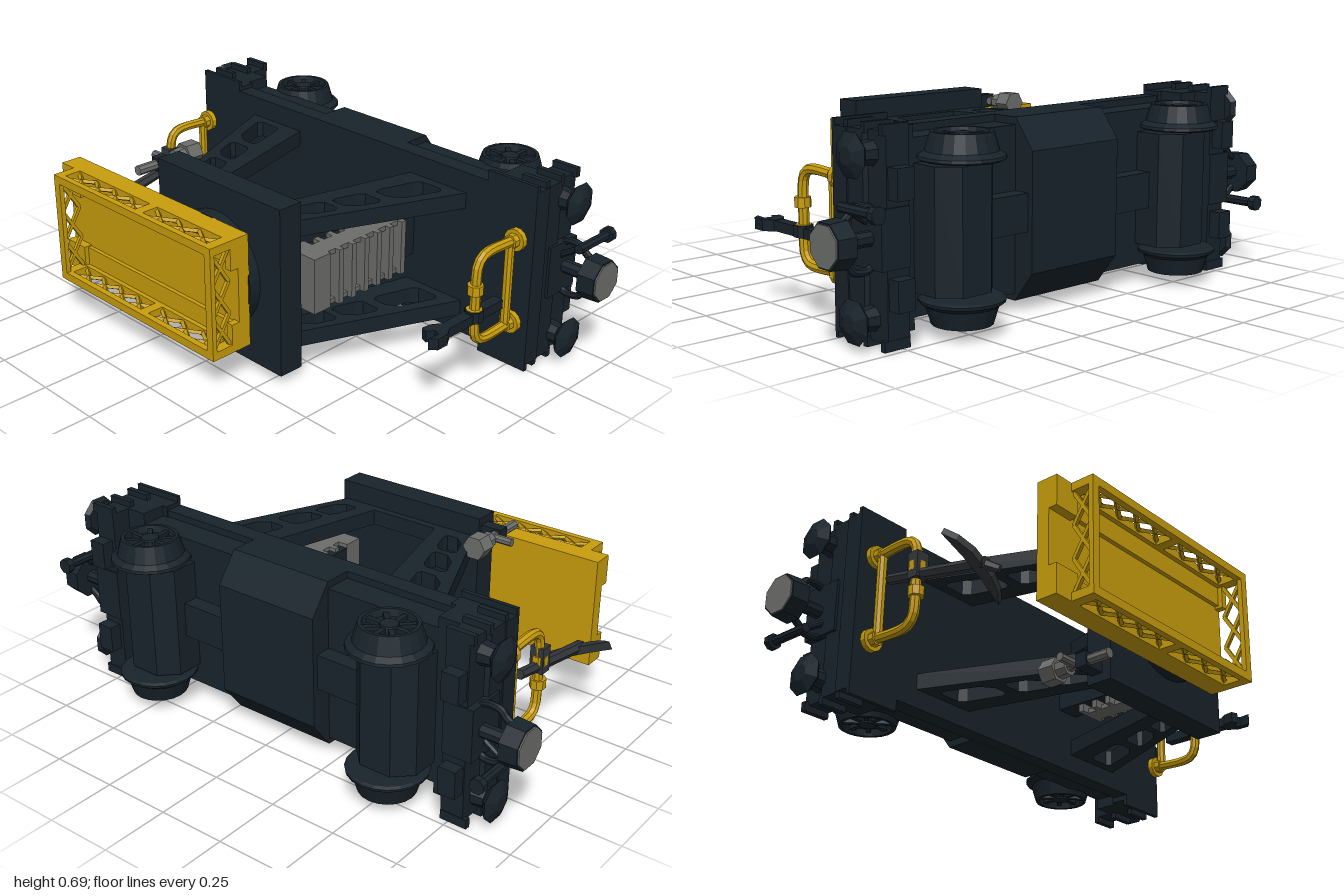
import * as THREE from 'three';

const mat = (color) => new THREE.MeshStandardMaterial({ color, flatShading: true, side: THREE.DoubleSide });
const DARK = mat(0x18232b), YELLOW = mat(0xc89d0c), GREY = mat(0x6c6e6b), STEEL = mat(0x34383b);
const MID = 0.355; // centre line of the wagon in y
const V = (x, y, z) => new THREE.Vector3(x, y, z);

function add(parent, name, geo, material) {
  const m = new THREE.Mesh(geo, material);
  m.name = name;
  parent.add(m);
  return m;
}
function group(parent, name) {
  const g = new THREE.Group();
  g.name = name;
  parent.add(g);
  return g;
}
function box(parent, name, material, x0, x1, y0, y1, z0, z1) {
  const m = add(parent, name, new THREE.BoxGeometry(x1 - x0, y1 - y0, z1 - z0), material);
  m.position.set((x0 + x1) / 2, (y0 + y1) / 2, (z0 + z1) / 2);
  return m;
}
// Cylinder or cone from point a to point b, flats facing the axes
function rod(parent, name, material, a, b, r0, r1 = r0, sides = 8) {
  const d = b.clone().sub(a);
  const geo = new THREE.CylinderGeometry(r1, r0, d.length(), sides, 1, false, Math.PI / sides);
  const m = add(parent, name, geo, material);
  m.position.copy(a).addScaledVector(d, 0.5);
  m.quaternion.setFromUnitVectors(V(0, 1, 0), d.normalize());
  return m;
}
function polygon(points, Type = THREE.Shape) {
  return new Type(points.map((p) => new THREE.Vector2(p[0], p[1])));
}
// Outline given as (x, z), extruded along y
function prismY(parent, name, material, pts, y0, y1, holes = []) {
  const s = polygon(pts.map(([x, z]) => [x, -z]));
  s.holes = holes.map((h) => polygon(h.map(([x, z]) => [x, -z]), THREE.Path));
  const g = new THREE.ExtrudeGeometry(s, { depth: y1 - y0, bevelEnabled: false });
  g.rotateX(-Math.PI / 2).translate(0, y0, 0);
  return add(parent, name, g, material);
}
// Outline given as (y, z), extruded along x
function prismX(parent, name, material, pts, x0, x1) {
  const g = new THREE.ExtrudeGeometry(polygon(pts), { depth: x1 - x0, bevelEnabled: false });
  g.applyMatrix4(new THREE.Matrix4().makeBasis(V(0, 1, 0), V(0, 0, 1), V(1, 0, 0))).translate(x0, 0, 0);
  return add(parent, name, g, material);
}
function pipe(parent, name, material, pts, r) {
  const path = new THREE.CatmullRomCurve3(pts.map((p) => V(...p)));
  return add(parent, name, new THREE.TubeGeometry(path, 28, r, 8), material);
}

// Wheel with flange, coned tread, hub and spokes; s is the outward direction in y
function wheel(parent, x, s) {
  const w = group(parent, 'wheel');
  const profile = [[0, 0], [0.13, 0], [0.141, 0.006], [0.139, 0.016], [0.118, 0.03], [0.1, 0.09], [0.088, 0.09],
    [0.083, 0.065], [0.035, 0.065], [0.03, 0.085], [0, 0.085]].map((p) => new THREE.Vector2(...p));
  add(w, 'wheelDisc', new THREE.LatheGeometry(profile, 20), DARK);
  for (let i = 0; i < 8; i++) {
    const spoke = add(w, 'spoke', new THREE.BoxGeometry(0.06, 0.018, 0.018).translate(0.058, 0.07, 0), DARK);
    spoke.rotation.y = (i * Math.PI) / 4;
  }
  w.position.set(x, MID + s * 0.215, -0.49);
  if (s < 0) w.rotation.x = Math.PI;
}

// One end of the wagon, at +x
function buildEnd() {
  const e = new THREE.Group();
  box(e, 'endPlate', DARK, 0.62, 0.825, 0.008, 0.702, -0.25, -0.235);
  box(e, 'endBeam', DARK, 0.62, 0.825, 0.03, 0.68, -0.305, -0.25);
  prismY(e, 'headstock', DARK, [[0.64, -0.3], [0.82, -0.3], [0.82, -0.38], [0.78, -0.4], [0.64, -0.4]], 0.03, 0.68);
  box(e, 'bufferBeam', DARK, 0.72, 0.805, 0.03, 0.68, -0.475, -0.38);
  box(e, 'couplerMount', DARK, 0.72, 0.83, 0.26, 0.45, -0.48, -0.33);
  for (const s of [-1, 1]) {
    for (const z of [-0.298, -0.38, -0.467])
      box(e, 'stepRib', DARK, 0.72, 0.82, MID + s * 0.33 - 0.017, MID + s * 0.33 + 0.017, z - 0.01, z + 0.01);
    box(e, 'stepBracket', DARK, 0.735, 0.8, MID + s * 0.17 - 0.05, MID + s * 0.17 + 0.05, -0.52, -0.42);
    // buffers
    const y = MID + s * 0.255;
    rod(e, 'bufferSocket', DARK, V(0.78, y, -0.4), V(0.85, y, -0.4), 0.045, 0.035);
    rod(e, 'bufferShaft', DARK, V(0.85, y, -0.4), V(0.87, y, -0.4), 0.025);
    rod(e, 'bufferHead', DARK, V(0.865, y, -0.4), V(0.88, y, -0.4), 0.06, 0.075);
    rod(e, 'bufferFace', DARK, V(0.88, y, -0.4), V(0.9, y, -0.4), 0.075, 0.03);
    // coupler yoke
    pipe(e, 'couplerYoke', DARK, [[0.82, MID + s * 0.09, -0.42], [0.845, MID + s * 0.1, -0.42],
      [0.89, MID + s * 0.095, -0.42], [0.91, MID + s * 0.075, -0.42], [0.94, MID + s * 0.055, -0.42]], 0.013);
    const yr = MID + s * 0.155;
    rod(e, 'railFlange', YELLOW, V(0.775, yr, -0.212), V(0.775, yr, -0.192), 0.04, 0.04, 12);
    rod(e, 'railFoot', YELLOW, V(0.775, yr, -0.2), V(0.775, yr, -0.17), 0.026);
  }
  rod(e, 'couplerShaft', DARK, V(0.82, MID, -0.42), V(0.94, MID, -0.42), 0.025);
  rod(e, 'couplerHead', DARK, V(0.93, MID, -0.42), V(0.995, MID, -0.42), 0.08, 0.076);
  rod(e, 'couplerFace', GREY, V(0.99, MID, -0.42), V(1, MID, -0.42), 0.07);
  // brake pipe beside the coupler
  rod(e, 'brakePipe', DARK, V(0.905, 0.455, -0.56), V(0.905, 0.455, -0.38), 0.017);
  rod(e, 'brakePipeCap', DARK, V(0.905, 0.455, -0.565), V(0.905, 0.455, -0.54), 0.028);
  rod(e, 'brakePipeArm', DARK, V(0.82, 0.4, -0.4), V(0.905, 0.455, -0.4), 0.012);
  // hand rail
  pipe(e, 'handRail', YELLOW, [[0.775, 0.2, -0.2], [0.775, 0.195, -0.06], [0.775, 0.203, -0.03], [0.775, 0.225, -0.01],
    [0.775, 0.26, -0.004], [0.775, MID, -0.004], [0.775, 0.45, -0.004], [0.775, 0.485, -0.01], [0.775, 0.507, -0.03],
    [0.775, 0.515, -0.06], [0.775, 0.51, -0.2]], 0.018);
  rod(e, 'railCrossbar', YELLOW, V(0.775, 0.2, -0.172), V(0.775, 0.51, -0.172), 0.017);
  for (const y of [0.31, 0.4]) rod(e, 'railCollar', YELLOW, V(0.775, y - 0.017, 0), V(0.775, y + 0.017, 0), 0.028);
  return e;
}

// Row of crossed braces in a plane; at(u, z) gives the point
function lattice(parent, at, u0, u1, n, z0, z1) {
  const step = (u1 - u0) / n;
  for (let i = 0; i < n; i++) {
    const a = u0 + i * step, b = a + step;
    rod(parent, 'brace', YELLOW, at(a, z0), at(b, z1), 0.009, 0.009, 4);
    rod(parent, 'brace', YELLOW, at(a, z1), at(b, z0), 0.009, 0.009, 4);
  }
}

export function createModel() {
  const root = new THREE.Group();
  root.name = 'railWagon';

  // Chassis
  const chassis = group(root, 'chassis');
  box(chassis, 'deck', DARK, -0.72, 0.72, 0.05, 0.665, -0.3, -0.235);
  box(chassis, 'underframe', DARK, -0.66, 0.66, 0.07, 0.64, -0.4, -0.29);
  prismX(chassis, 'centreTank', DARK, [[0.045, -0.29], [0.045, -0.4], [0.15, -0.48], [0.56, -0.48], [0.665, -0.4], [0.665, -0.29]], -0.205, 0.205);
  for (const s of [-1, 1]) {
    const x = s * 0.52;
    prismY(chassis, 'axleHousing', DARK, [[x - 0.12, -0.38], [x + 0.12, -0.38], [x + 0.12, -0.5],
      [x + 0.06, -0.56], [x - 0.06, -0.56], [x - 0.12, -0.5]], 0.15, 0.56);
    box(chassis, 'driveLink', DARK, Math.min(s * 0.2, s * 0.41), Math.max(s * 0.2, s * 0.41), 0.29, 0.42, -0.46, -0.38);
    rod(chassis, 'axle', DARK, V(x, 0.07, -0.49), V(x, 0.64, -0.49), 0.028);
    for (const t of [-1, 1]) wheel(chassis, x, t);
  }
  const endA = buildEnd(), endB = buildEnd();
  endA.name = 'leftEnd';
  endB.name = 'rightEnd';
  endB.rotation.z = Math.PI;
  endB.position.y = 2 * MID;
  root.add(endA, endB);

  // Pierced struts carrying the crosshead
  const frame = group(root, 'supportFrame');
  for (const y of [0.117, 0.533]) {
    box(frame, 'strutFoot', DARK, -0.29, 0.29, y, y + 0.058, 0.3, 0.34);
    for (const s of [-1, 1]) {
      const at = (u, t) => [s * ((0.535 - 0.245 * t) * (1 - u) + (0.28 - 0.15 * t) * u), -0.24 + 0.57 * t];
      // holes with clipped corners
      const hole = (a, b) => [[0.28, a], [0.6, a], [0.66, a + 0.04], [0.66, b - 0.04], [0.6, b], [0.34, b], [0.2, b - 0.06], [0.2, a + 0.03]]
        .map(([u, t]) => at(u, t));
      prismY(frame, 'strut', DARK, [at(0, 0), at(1, 0), at(1, 1), at(0, 1)], y, y + 0.058,
        [hole(0.07, 0.38), hole(0.45, 0.66), hole(0.71, 0.91)]);
    }
  }
  box(frame, 'crosshead', DARK, -0.31, 0.305, 0.045, 0.663, 0.33, 0.425);
  rod(frame, 'turntable', DARK, V(0, MID, 0.38), V(0, MID, 0.472), 0.208, 0.208, 32);

  // Ribbed radiator inside the frame
  const radiator = group(root, 'radiator');
  box(radiator, 'radiatorCore', DARK, 0.21, 0.305, 0.28, 0.44, -0.24, 0.23);
  box(radiator, 'radiatorCap', GREY, 0.21, 0.34, 0.25, 0.455, 0.225, 0.302);
  for (let i = 0; i < 6; i++) {
    const z = -0.145 + i * 0.0625;
    box(radiator, 'radiatorRib', GREY, 0.22, 0.345, 0.25, 0.455, z, z + 0.022);
  }
  for (const y of [0.25, 0.437]) box(radiator, 'radiatorRail', GREY, 0.25, 0.325, y, y + 0.018, -0.14, 0.23);

  // Lattice-sided platform
  const tray = group(root, 'platform');
  box(tray, 'platformFloor', YELLOW, -0.72, 0.2, 0.145, 0.56, 0.468, 0.515);
  for (const [x0, x1] of [[-0.72, -0.62], [0.175, 0.2]])
    for (const [y0, y1] of [[0.145, 0.25], [0.45, 0.56]])
      box(tray, 'platformLip', YELLOW, x0, x1, y0, y1, 0.51, 0.547);
  for (const [y, ledge] of [[0.145, 0.175], [0.53, 0.46]]) {
    box(tray, 'sideSill', YELLOW, -0.72, 0.2, y, y + 0.03, 0.51, 0.547);
    box(tray, 'sideLedge', YELLOW, -0.62, 0.18, ledge, ledge + 0.07, 0.51, 0.53);
    box(tray, 'sideRail', YELLOW, -0.65, 0.2, y, y + 0.03, 0.61, 0.633);
    for (const x of [-0.65, -0.21, 0.16]) box(tray, 'post', YELLOW, x, x + 0.04, y, y + 0.03, 0.54, 0.62);
    const side = (u, z) => V(u, y + 0.015, z);
    lattice(tray, side, -0.61, -0.21, 4, 0.547, 0.612);
    lattice(tray, side, -0.17, 0.16, 3, 0.547, 0.612);
  }
  for (const x of [-0.65, 0.17]) {
    box(tray, 'endRail', YELLOW, x, x + 0.03, 0.145, 0.56, 0.615, 0.633);
    lattice(tray, (u, z) => V(x + 0.015, u, z), 0.175, 0.53, 3, 0.547, 0.62);
  }

  // Work lamps beside the crosshead
  for (const y of [0.1, 0.61]) {
    const lamp = group(root, 'workLamp');
    rod(lamp, 'lampHead', GREY, V(-0.37, y, 0.205), V(-0.37, y, 0.265), 0.045, 0.045, 6);
    rod(lamp, 'lampBody', GREY, V(-0.37, y, 0.265), V(-0.37, y, 0.305), 0.032, 0.03, 8);
    rod(lamp, 'lampStem', GREY, V(-0.37, y, 0.29), V(-0.37, y, 0.47), 0.018);
    rod(lamp, 'lampPin', GREY, V(-0.45, y, 0.33), V(-0.35, y, 0.33), 0.015);
    box(lamp, 'lampBracket', DARK, -0.39, -0.3, y - 0.025, y + 0.025, 0.345, 0.39);
  }

  // Pickaxe held by the right hand rail
  const pick = group(root, 'pickaxe');
  rod(pick, 'pickHandle', STEEL, V(-0.778, 0.4, -0.13), V(-0.765, 0.315, 0.3), 0.018, 0.022, 6);
  rod(pick, 'pickHandleTip', STEEL, V(-0.765, 0.32, 0.28), V(-0.735, 0.295, 0.33), 0.02, 0.014, 6);
  box(pick, 'pickClip', STEEL, -0.8, -0.75, 0.355, 0.45, -0.02, 0.025);
  const blade = prismY(pick, 'pickHead', STEEL, [[-0.15, -0.028], [-0.05, -0.018], [0.05, -0.018], [0.15, -0.028],
    [0.11, 0.002], [0.05, 0.022], [-0.05, 0.022], [-0.11, 0.002]], -0.014, 0.014);
  blade.rotation.z = -0.5;
  blade.position.set(-0.775, 0.315, 0.275);

  // Open-ended spanner held by the left hand rail
  const spanner = group(root, 'spanner');
  box(spanner, 'spannerShank', DARK, 0.753, 0.793, 0.283, 0.318, -0.13, 0.17);
  prismY(spanner, 'spannerJaw', DARK, [[0.755, 0.14], [0.79, 0.14], [0.815, 0.18], [0.815, 0.225], [0.79, 0.245],
    [0.795, 0.2], [0.77, 0.19], [0.755, 0.215], [0.73, 0.205], [0.735, 0.17]], 0.28, 0.32);
  rod(spanner, 'spannerClip', DARK, V(0.775, 0.285, 0), V(0.775, 0.325, 0), 0.033);
  return root;
}
